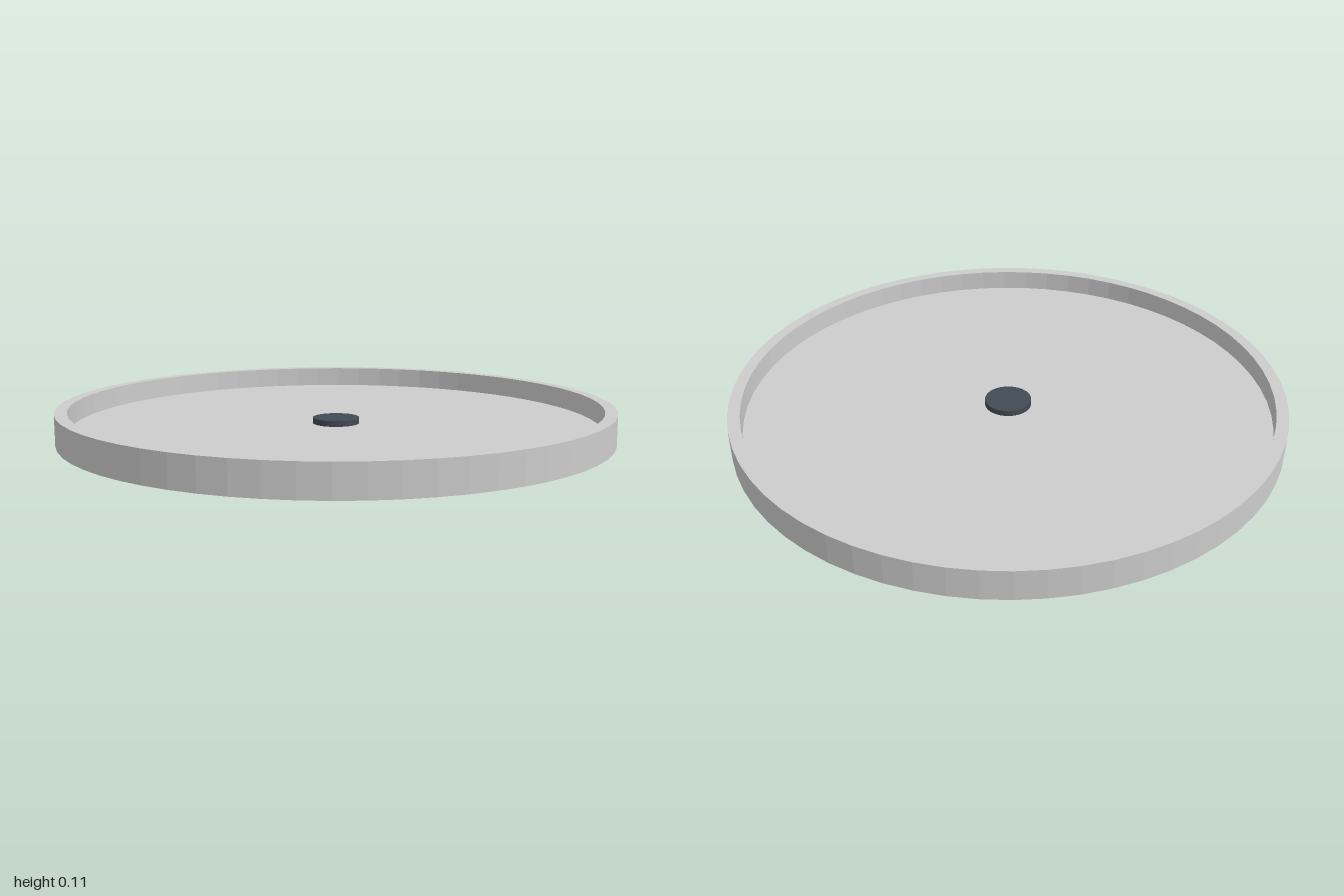
import * as THREE from 'three';

export function createModel() {
  const group = new THREE.Group();
  const lightGrey = new THREE.MeshStandardMaterial({ name: 'lightGrey', color: 0xcccccc, flatShading: true });
  const darkSlate = new THREE.MeshStandardMaterial({ name: 'darkSlate', color: 0x424a55, flatShading: true });

  const floorY = 0.033, height = 0.11, innerRadius = 0.957;

  // Shallow round tray: underside, outer wall, rim, inner wall and floor
  const profile = [
    [0, 0], [1, 0], [1, height], [innerRadius, height], [innerRadius, floorY], [0, floorY],
  ].map(([r, y]) => new THREE.Vector2(r, y));
  const tray = new THREE.Mesh(new THREE.LatheGeometry(profile, 64), lightGrey);
  tray.name = 'tray';
  group.add(tray);

  // Small disc resting in the middle of the floor
  const discHeight = 0.021;
  const disc = new THREE.Mesh(new THREE.CylinderGeometry(0.085, 0.085, discHeight, 32), darkSlate);
  disc.name = 'centreDisc';
  disc.position.y = floorY + discHeight / 2;
  group.add(disc);

  return group;
}
